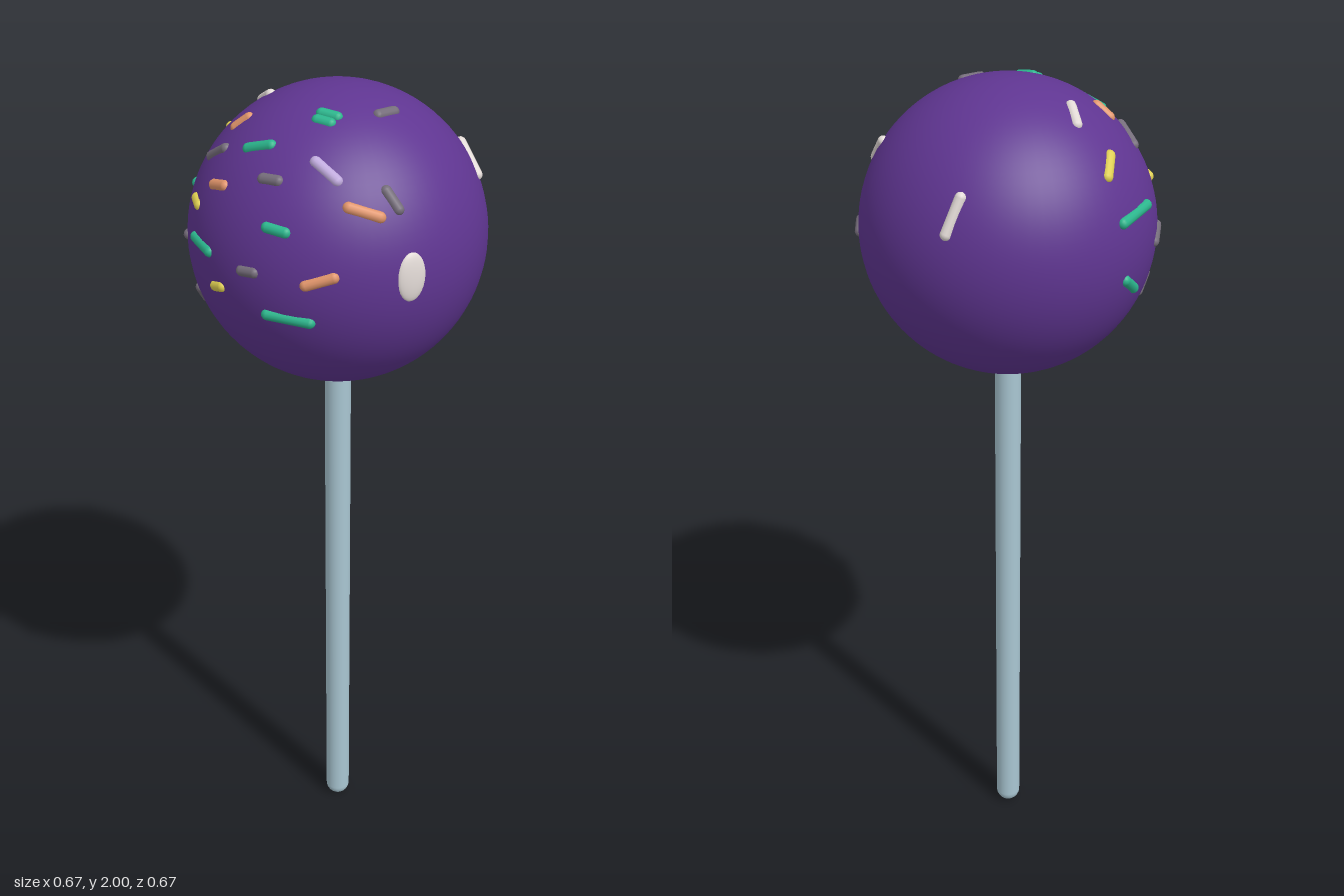
import * as THREE from 'three';

const R = 0.334, CY = 1.667;
const mat = (name, color) => {
  const m = new THREE.MeshStandardMaterial({ color });
  m.name = name;
  return m;
};

// Point on the ball from (x, y) seen in front, or (x, z) seen from above
const onFront = ([x, y]) =>
  new THREE.Vector3(x, y - CY, Math.sqrt(Math.max(0, R * R - x * x - (y - CY) ** 2)));
const onTop = ([x, z]) =>
  new THREE.Vector3(x, Math.sqrt(Math.max(0, R * R - x * x - z * z)), z);

export function createModel() {
  const group = new THREE.Group();
  const mats = {
    purple: mat('purple icing', 0x5f3591),
    stick: mat('pale blue stick', 0xa9c6d2),
    teal: mat('teal', 0x2bb58c),
    orange: mat('orange', 0xe0946a),
    yellow: mat('yellow', 0xe0d052),
    white: mat('white', 0xe2dad6),
    gray: mat('gray', 0x756d7a),
    lavender: mat('lavender', 0xbfa9dc),
  };
  const add = (name, geo, m, parent = group) => {
    const mesh = new THREE.Mesh(geo, m);
    mesh.name = name;
    parent.add(mesh);
    return mesh;
  };

  // Ball and round-ended stick
  add('ball', new THREE.SphereGeometry(R, 64, 48), mats.purple).position.y = CY;
  add('stick', new THREE.CapsuleGeometry(0.031, 1.34, 8, 24), mats.stick).position.y = 0.701;

  // Sprinkles: capsules half sunk into the icing, given by their two tips
  const sprinkles = new THREE.Group();
  sprinkles.name = 'sprinkles';
  sprinkles.position.y = CY;
  group.add(sprinkles);
  const up = new THREE.Vector3(0, 1, 0);
  const sprinkle = (color, a, b) => {
    const r = 0.0125, dir = b.clone().sub(a), mid = a.clone().add(b).multiplyScalar(0.5);
    const geo = new THREE.CapsuleGeometry(r, Math.max(0.008, dir.length() - 2 * r), 6, 12);
    const mesh = add(color + 'Sprinkle', geo, mats[color], sprinkles);
    mesh.position.copy(mid.setLength(R - 0.005));
    mesh.quaternion.setFromUnitVectors(up, dir.normalize());
  };

  // Upper half, as (x, z) tips
  [
    ['yellow', [-0.28, 0.075], [-0.23, 0.115]],
    ['white', [-0.2, 0.052], [-0.13, 0.075]],
    ['orange', [-0.13, 0.19], [-0.09, 0.16]],
    ['gray', [-0.16, 0.23], [-0.085, 0.232]],
    ['teal', [-0.03, 0.235], [0.045, 0.208]],
    ['teal', [0.058, 0.11], [0.112, 0.085]],
    ['teal', [0.065, 0.128], [0.115, 0.106]],
    ['lavender', [0.13, 0.185], [0.203, 0.168]],
    ['orange', [0.223, 0.182], [0.28, 0.115]],
    ['gray', [0.25, 0.097], [0.29, 0.08]],
    ['gray', [0.05, 0.262], [0.108, 0.242]],
    ['orange', [-0.085, 0.283], [-0.02, 0.287]],
    ['gray', [0.14, -0.045], [0.14, 0.023]],
    ['white', [0.133, -0.234], [0.218, -0.218]],
    ['white', [-0.19, -0.265], [-0.19, -0.218]],
  ].forEach(([c, a, b]) => sprinkle(c, onTop(a), onTop(b)));

  // Front face, as (x, y) tips
  [
    ['teal', [-0.313, 1.745], [-0.25, 1.757]],
    ['teal', [-0.315, 1.624], [-0.28, 1.577]],
    ['yellow', [-0.155, 1.777], [-0.105, 1.768]],
    ['teal', [-0.12, 1.706], [-0.025, 1.696]],
    ['yellow', [-0.035, 1.62], [0.015, 1.633]],
    ['gray', [-0.24, 1.653], [-0.18, 1.68]],
    ['gray', [-0.16, 1.565], [-0.178, 1.51]],
    ['teal', [0.11, 1.6], [0.212, 1.592]],
    ['orange', [0.193, 1.675], [0.252, 1.702]],
    ['gray', [0.055, 1.685], [0.11, 1.69]],
    ['teal', [0.1, 1.787], [0.162, 1.78]],
  ].forEach(([c, a, b]) => sprinkle(c, onFront(a), onFront(b)));

  // Single sprinkle at the back
  sprinkle('gray', new THREE.Vector3(0.185, 0.015, -0.275), new THREE.Vector3(0.135, -0.01, -0.305));

  // Large flat white flake on the left side
  const flake = add('flake', new THREE.SphereGeometry(1, 20, 14), mats.white, sprinkles);
  flake.position.set(0.326, 0.018, 0.08).setLength(R - 0.004);
  flake.quaternion.setFromUnitVectors(new THREE.Vector3(0, 0, 1), flake.position.clone().normalize());
  flake.scale.set(0.033, 0.053, 0.011);

  return group;
}
